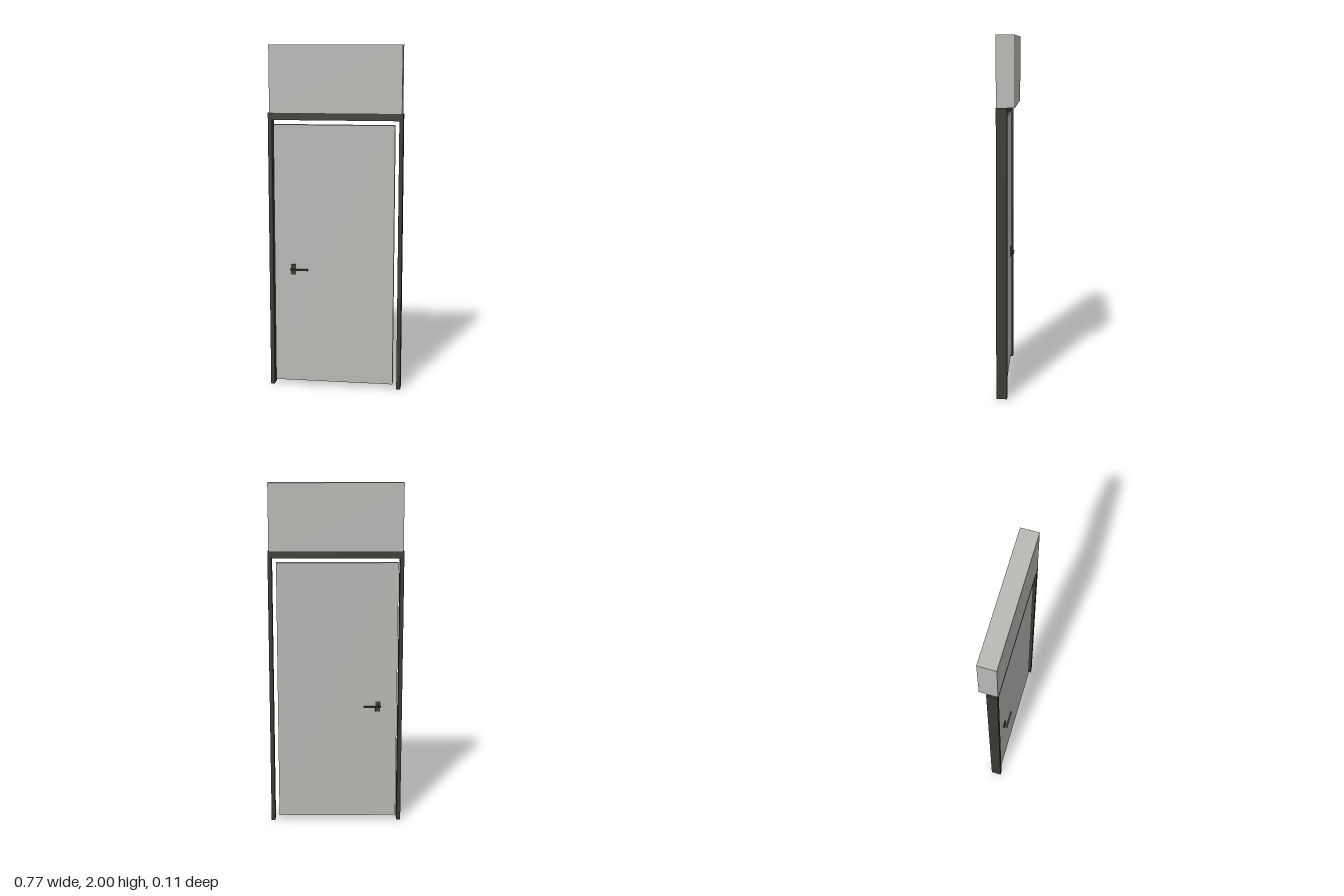
import * as THREE from 'three';

const grey = new THREE.MeshStandardMaterial({ color: 0xb8b8b5 });
grey.name = 'pale grey panel';
const dark = new THREE.MeshStandardMaterial({ color: 0x3a3a34 });
dark.name = 'dark metal';

// Box given by its lower and upper limits on each axis
function box(name, material, [x0, x1], [y0, y1], [z0, z1]) {
  const mesh = new THREE.Mesh(new THREE.BoxGeometry(x1 - x0, y1 - y0, z1 - z0), material);
  mesh.position.set((x0 + x1) / 2, (y0 + y1) / 2, (z0 + z1) / 2);
  mesh.name = name;
  return mesh;
}

export function createModel() {
  const model = new THREE.Group();
  model.name = 'door';
  const depth = [-0.017, 0.043];

  // Fixed panel over the door
  model.add(box('overPanel', grey, [-0.379, 0.379], [1.618, 2], [-0.058, 0.043]));

  // Frame: two jambs and a head
  const frame = new THREE.Group();
  frame.name = 'frame';
  frame.add(
    box('rightJamb', dark, [-0.387, -0.364], [0, 1.618], depth),
    box('leftJamb', dark, [0.364, 0.387], [0, 1.618], depth),
    box('head', dark, [-0.364, 0.364], [1.577, 1.618], depth)
  );
  model.add(frame);

  // Door leaf, with a clear gap all round
  const front = 0.033, back = -0.005;
  model.add(box('leaf', grey, [-0.357, 0.34], [0.026, 1.551], [back, front]));

  // Handles on both faces: backplate, neck and lever
  for (const side of [1, -1]) {
    const face = side > 0 ? front : back;
    const span = (a, b) => [face + side * a, face + side * b].sort((p, q) => p - q);
    const handle = new THREE.Group();
    handle.name = side > 0 ? 'frontHandle' : 'backHandle';
    handle.add(
      box('backplate', dark, [-0.26, -0.231], [0.675, 0.736], span(0, 0.005)),
      box('neck', dark, [-0.251, -0.241], [0.701, 0.711], span(0.005, 0.014)),
      box('lever', dark, [-0.263, -0.16], [0.701, 0.711], span(0.013, 0.023))
    );
    model.add(handle);
  }
  return model;
}
